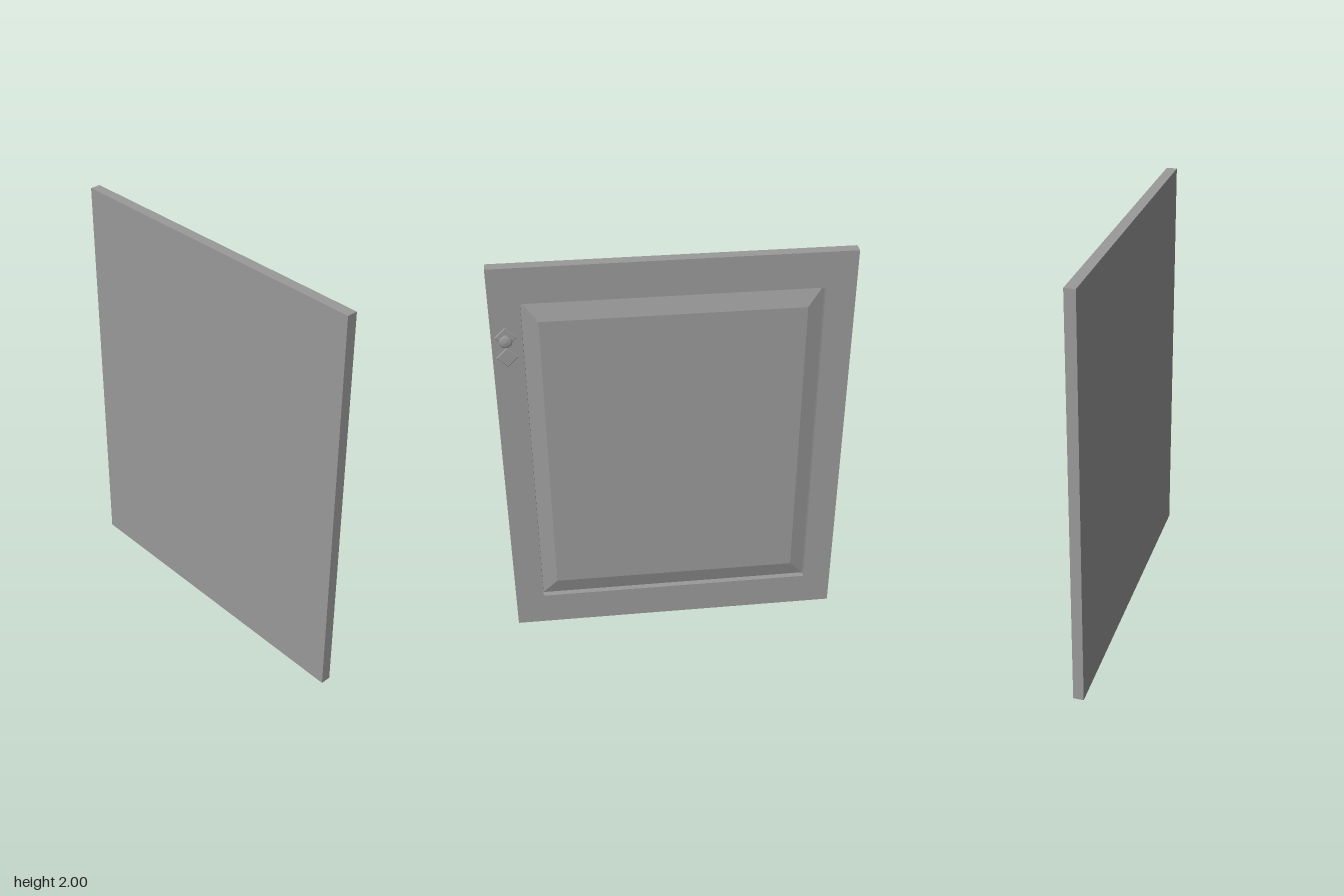
import * as THREE from 'three';

const material = new THREE.MeshStandardMaterial({ color: 0x9a9a9a, flatShading: true });
const smooth = new THREE.MeshStandardMaterial({ color: 0x9a9a9a });

// Skin a row of rectangles [halfWidth, halfHeight, z] into one closed, flat-faced body
function loftRectangles(rings) {
  const loops = rings.map(([w, h, z]) => [[-w, -h, z], [w, -h, z], [w, h, z], [-w, h, z]]);
  const positions = [];
  const quad = (a, b, c, d) => positions.push(...a, ...b, ...c, ...a, ...c, ...d);
  quad(...loops[0]);
  for (let i = 0; i < loops.length - 1; i++) {
    const a = loops[i], b = loops[i + 1];
    for (let k = 0; k < 4; k++) {
      const n = (k + 1) % 4;
      quad(a[k], b[k], b[n], a[n]);
    }
  }
  quad(...loops[loops.length - 1].slice().reverse());
  const geometry = new THREE.BufferGeometry();
  geometry.setAttribute('position', new THREE.Float32BufferAttribute(positions, 3));
  geometry.computeVertexNormals();
  return geometry;
}

export function createModel() {
  const model = new THREE.Group();
  model.name = 'cabinetDoor';

  const add = (name, geometry, mat, x, y, z) => {
    const mesh = new THREE.Mesh(geometry, mat);
    mesh.name = name;
    mesh.position.set(x, y, z);
    model.add(mesh);
  };

  // Door leaf: flat front, framed raised panel on the back
  add('doorLeaf', loftRectangles([
    [0.802, 1, 0.05],        // front face
    [0.802, 1, 0],           // back of the frame
    [0.665, 0.829, 0],       // frame opening
    [0.665, 0.829, 0.028],   // foot of the opening
    [0.592, 0.737, 0],       // raised field
  ]), material, 0, 1, 0);

  // Two thin diamond plates
  const plate = new THREE.CylinderGeometry(0.044, 0.049, 0.004, 4).rotateX(-Math.PI / 2);
  add('knobPlate', plate, material, 0.738, 1.671, -0.002);
  add('lowerPlate', plate, material, 0.738, 1.571, -0.002);

  // Turned knob with a flared head
  const profile = [
    [0.015, 0], [0.012, 0.008], [0.012, 0.026], [0.016, 0.032],
    [0.028, 0.038], [0.029, 0.042], [0.021, 0.047], [0, 0.049],
  ].map(([r, h]) => new THREE.Vector2(r, h));
  add('knob', new THREE.LatheGeometry(profile, 20).rotateX(-Math.PI / 2), smooth, 0.738, 1.671, 0);

  return model;
}
